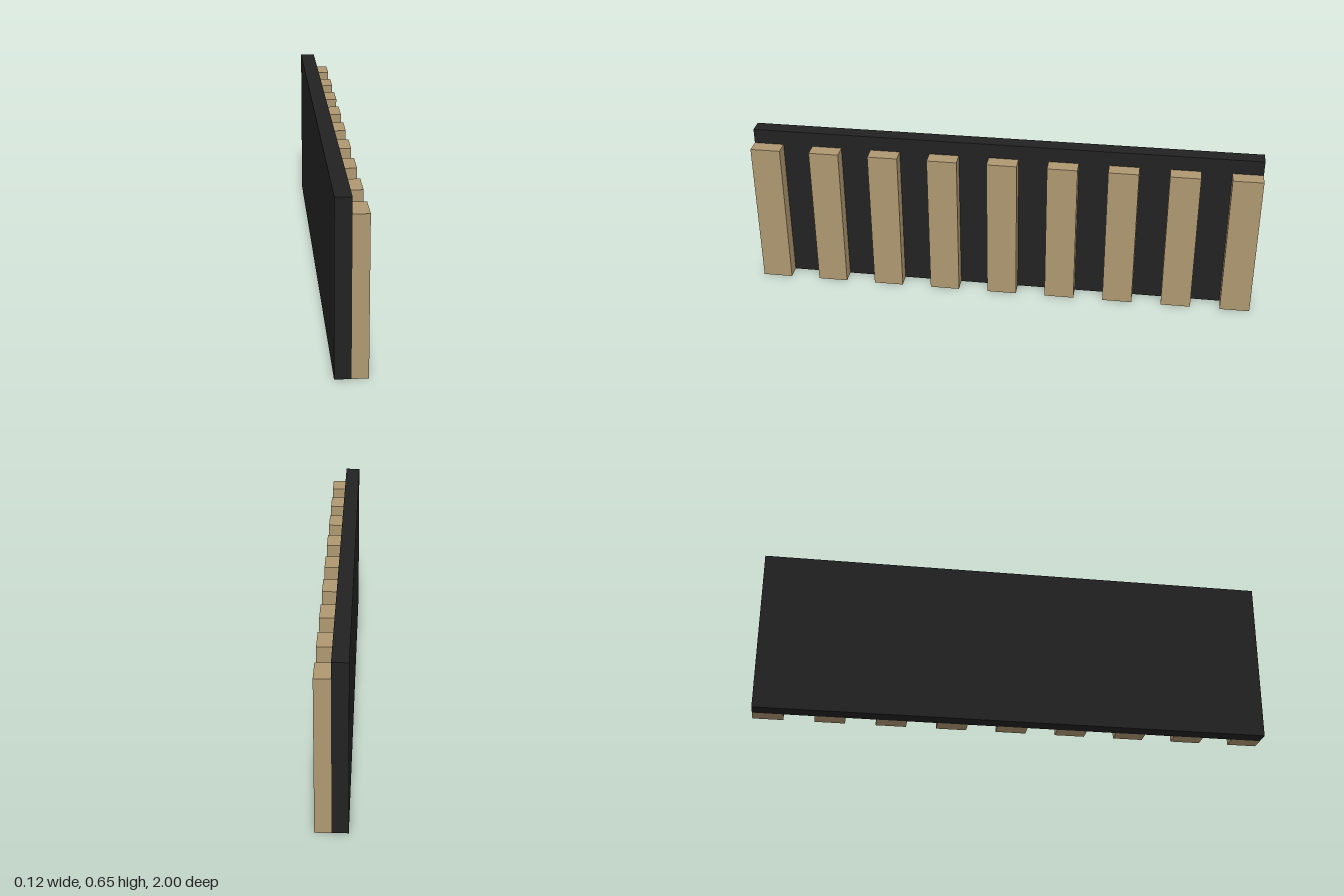
import * as THREE from 'three';

// Slatted panel: everything sits on a module of 1/17 of the length (slats and gaps are equal).
const SLATS = 9;
const LENGTH = 2;
const WIDTH = LENGTH / (2 * SLATS - 1); // slat width = gap width
const DEPTH = WIDTH / 2;                // thickness of board and slats
const BOARD_HEIGHT = WIDTH * 5.5;
const SLAT_HEIGHT = WIDTH * 5;

function material(name, color) {
  const m = new THREE.MeshStandardMaterial({ color });
  m.name = name;
  return m;
}

// Box standing on the ground
function standingBox(name, w, h, d, mat, x, z) {
  const mesh = new THREE.Mesh(new THREE.BoxGeometry(w, h, d), mat);
  mesh.name = name;
  mesh.position.set(x, h / 2, z);
  return mesh;
}

export function createModel() {
  const black = material('blackBoard', 0x222222);
  const wood = material('lightWood', 0xae9871);

  const model = new THREE.Group();
  model.name = 'slattedPanel';

  // Backing board
  model.add(standingBox('backingBoard', DEPTH, BOARD_HEIGHT, LENGTH, black, -DEPTH / 2, 0));

  // Evenly spaced vertical slats on the +x face
  const slats = new THREE.Group();
  slats.name = 'slats';
  for (let i = 0; i < SLATS; i++) {
    const z = (i - (SLATS - 1) / 2) * 2 * WIDTH;
    slats.add(standingBox(`slat${i + 1}`, DEPTH, SLAT_HEIGHT, WIDTH, wood, DEPTH / 2, z));
  }
  model.add(slats);

  return model;
}
